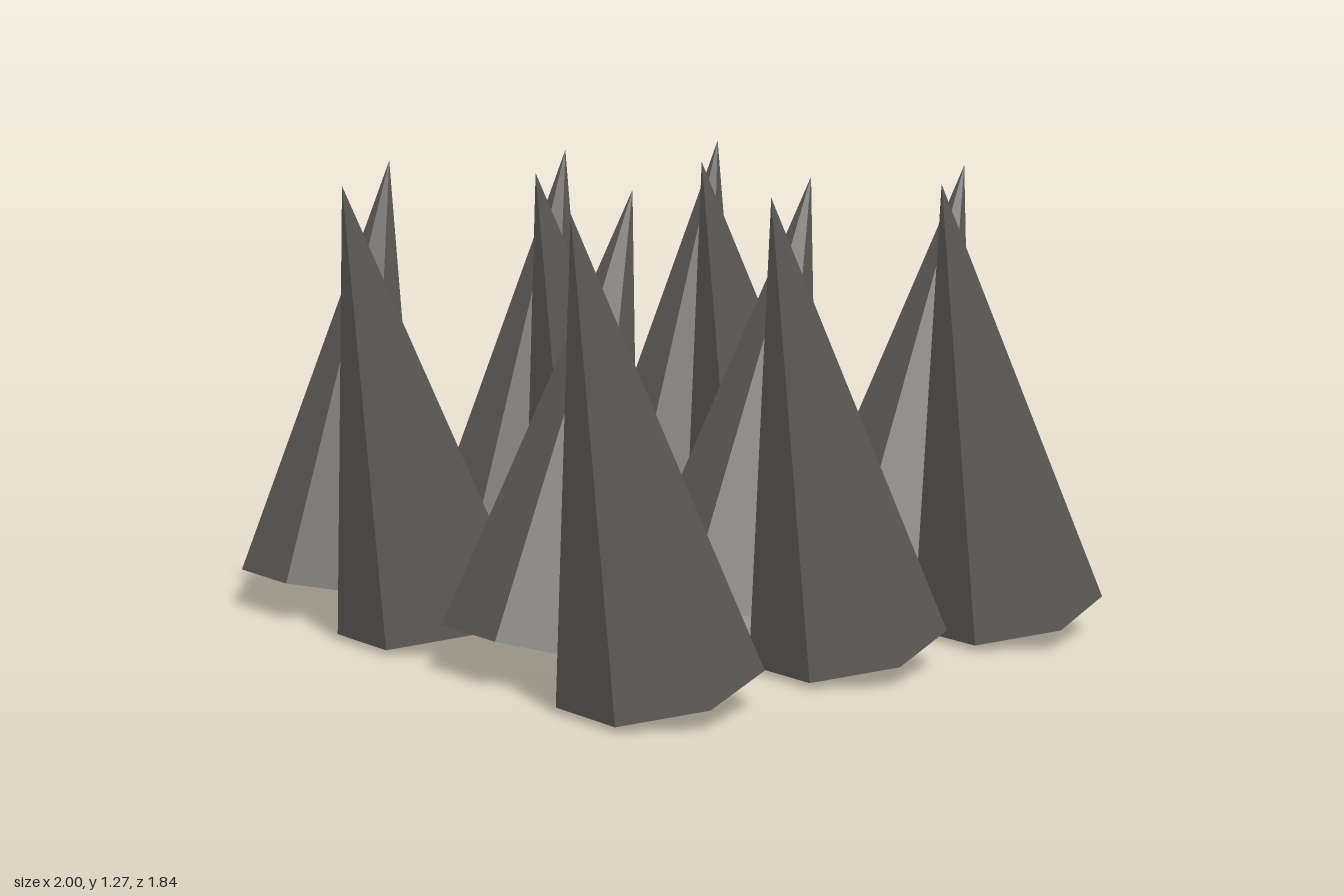
import * as THREE from 'three';

const RADIUS = 0.271, HEIGHT = 1.22, BASE_Y = 0.0705;

export function createModel() {
  const group = new THREE.Group();
  group.name = 'spikeField';

  const darkStone = new THREE.MeshStandardMaterial({ color: 0x5a5653, flatShading: true });
  darkStone.name = 'darkStone';

  // Seven-sided spike, pivoting about its base centre, with one corner at the back
  const spikeGeometry = new THREE.ConeGeometry(RADIUS, HEIGHT, 7, 1);
  spikeGeometry.rotateY(Math.PI);
  spikeGeometry.translate(0, HEIGHT / 2, 0);

  // Each column leans back (negative) or forward (positive), in degrees
  const columns = [
    { x: -0.735, lean: -10 },
    { x: -0.245, lean: 13 },
    { x: 0.245, lean: -15 },
    { x: 0.735, lean: 13 },
  ];
  const rows = [-0.606, 0.003, 0.645];

  rows.forEach((z, r) => {
    columns.forEach(({ x, lean }, c) => {
      const spike = new THREE.Mesh(spikeGeometry, darkStone);
      spike.name = `spikeRow${r + 1}Column${c + 1}`;
      spike.position.set(x, BASE_Y, z);
      spike.rotation.x = THREE.MathUtils.degToRad(lean);
      group.add(spike);
    });
  });

  return group;
}
